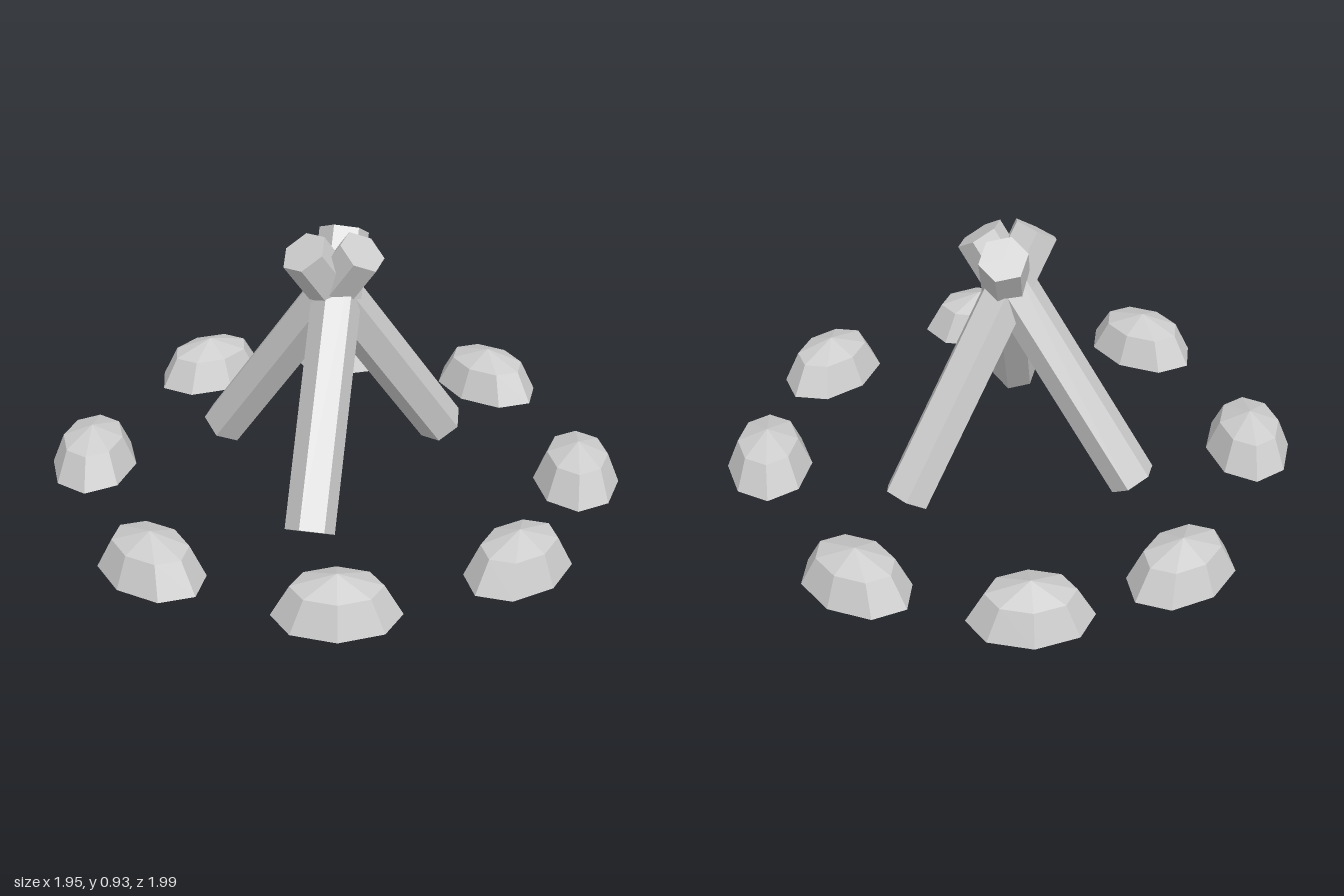
import * as THREE from 'three';

const rad = THREE.MathUtils.degToRad;

export function createModel() {
  const model = new THREE.Group();
  model.name = 'campfire';
  const wood = new THREE.MeshStandardMaterial({ color: 0xcccccc, flatShading: true });
  const rock = new THREE.MeshStandardMaterial({ color: 0xcccccc, flatShading: true, side: THREE.DoubleSide });

  // Hexagonal log, rolled a little about its axis and leaning inwards
  const logGeometry = new THREE.CylinderGeometry(0.084, 0.084, 1.02, 6);
  logGeometry.rotateY(rad(15));
  logGeometry.rotateZ(rad(35));

  // Three logs crossing near the top: centre x, centre z, heading in degrees
  const logs = [
    [0.172, 0.005, 0],
    [-0.073, -0.16, 113],
    [-0.117, 0.137, 225],
  ];
  logs.forEach(([x, z, heading], i) => {
    const log = new THREE.Mesh(logGeometry, wood);
    log.name = `log${i + 1}`;
    log.position.set(x, 0.468, z);
    log.rotation.y = rad(heading);
    model.add(log);
  });

  // Open half-dome stone, longest along its tangent to the ring
  const stoneGeometry = new THREE.SphereGeometry(1, 8, 2, 0, Math.PI * 2, 0, Math.PI / 2);
  stoneGeometry.scale(0.21, 0.155, 0.149);

  // Ring of stones, by angle clockwise from the back
  const ringRadius = 0.853;
  [0, 36.7, 77, 127.6, 169, 213, 257.5, 307.4].forEach((angle, i) => {
    const a = rad(angle);
    const stone = new THREE.Mesh(stoneGeometry, rock);
    stone.name = `stone${i + 1}`;
    stone.position.set(ringRadius * Math.sin(a), 0, -ringRadius * Math.cos(a));
    stone.rotation.y = -a;
    model.add(stone);
  });

  return model;
}
